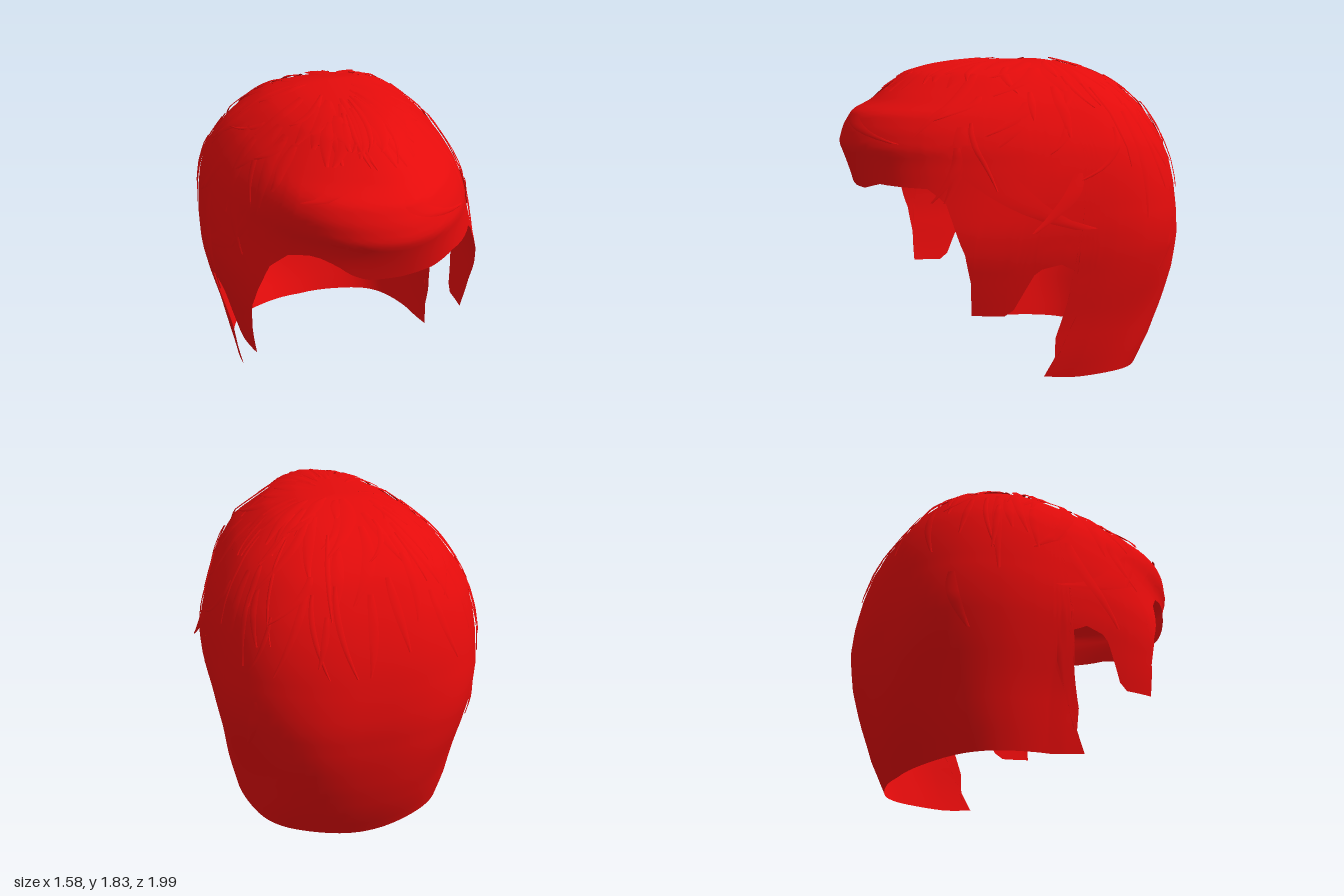
import * as THREE from 'three';

const TOP = 1.825;
// Slices: height, front z, back z, half width, centre z
const SLICES = [
  [1.825, -0.15, -0.15, 0, -0.15],
  [1.81, 0.3, -0.26, 0.19, -0.14],
  [1.79, 0.45, -0.35, 0.26, -0.13],
  [1.75, 0.6, -0.48, 0.36, -0.13],
  [1.68, 0.71, -0.61, 0.46, -0.14],
  [1.6, 0.81, -0.71, 0.55, -0.15],
  [1.55, 0.91, -0.76, 0.59, -0.17],
  [1.46, 0.965, -0.82, 0.65, -0.18],
  [1.37, 0.995, -0.87, 0.695, -0.2],
  [1.25, 0.955, -0.92, 0.73, -0.2],
  [1.13, 0.92, -0.955, 0.75, -0.2],
  [0.95, 0.92, -0.985, 0.765, -0.2],
  [0.8, 0.92, -0.995, 0.755, -0.2],
  [0.6, 0.92, -0.975, 0.715, -0.2],
  [0.4, 0.92, -0.93, 0.67, -0.2],
  [0.2, 0.92, -0.86, 0.64, -0.2],
  [0, 0.92, -0.76, 0.6, -0.2],
];

// Lower hairline from brow to nape: z, y, and optional z the strand comes from
const HAIRLINE = [
  [0.92, 1.13], [0.9, 1.14], [0.84, 1.18], [0.63, 1.175], [0.55, 1.1], [0.47, 0.84],
  [0.435, 0.68], [0.425, 0.49], [0.25, 0.475], [0.2, 0.51], [0.1, 0.71],
  [0.06, 0.74], [-0.05, 0.76], [-0.155, 0.71], [-0.11, 0.6, -0.18], [-0.1, 0.49, -0.2],
  [-0.05, 0.32, -0.23], [-0.055, 0.15, -0.25], [0, 0.09, -0.27], [-0.2, 0.06, -0.33],
  [-0.4, 0.05, -0.45], [-0.6, 0.035, -0.62], [-0.72, 0.02, -0.74], [-0.79, 0.005, -0.79],
];

const { smoothstep } = THREE.MathUtils;
const depth = (y) => Math.sqrt(Math.max(0, TOP - y));

function sliceAt(y) {
  let i = 0;
  while (i < SLICES.length - 2 && SLICES[i + 1][0] > y) i++;
  const a = SLICES[i], b = SLICES[i + 1];
  const t = Math.min(1, (depth(y) - depth(a[0])) / (depth(b[0]) - depth(a[0])));
  const [, front, back, width, centre] = a.map((v, k) => v + (b[k] - v) * t);
  return { front, back, width, centre };
}

// Rounder at the fringe and nape, squarer at the sideburns and back
const squareness = (y, isFront) =>
  isFront ? 2.7 - 0.73 * smoothstep(y, 0.8, 1.35) : 2.25 + 0.25 * smoothstep(y, 0.2, 0.85);

const bell = (v) => Math.exp(-v * v);

// Point on the scalp: angle 0 is the left side, +90 degrees the front
function scalp(angle, y, lift = 0) {
  const s = sliceAt(y), c = Math.cos(angle), n = Math.sin(angle);
  const p = 2 / squareness(y, n > 0);
  const reach = n > 0 ? s.front - s.centre : s.centre - s.back;
  const wave = 0.006 * Math.sin(angle * 7 + y * 6) * Math.min(1, depth(y));
  // The fringe is fuller at its right corner, and the right sideburn flares
  const turn = Math.atan2(n, c);
  const full = 0.06 * bell((turn - 2.25) / 0.4) * bell((y - 1.52) / 0.16)
    - 0.025 * bell((turn - 0.9) / 0.4) * bell((y - 1.7) / 0.1)
    + 0.025 * bell((turn - 2.7) / 0.4) * (1 - smoothstep(y, 0.5, 0.95));
  const out = lift + wave + full;
  return [
    Math.sign(c) * s.width * Math.abs(c) ** p + out * c,
    y + lift * Math.max(0, 1 - depth(y)),
    s.centre + Math.sign(n) * reach * Math.abs(n) ** p + out * n,
  ];
}

function angleFor(z, y) {
  const s = sliceAt(y), isFront = z > s.centre;
  const r = (z - s.centre) / (isFront ? s.front - s.centre : s.centre - s.back);
  const a = Math.asin(Math.min(1, Math.abs(r) ** (squareness(y, isFront) / 2)));
  return isFront ? a : -a;
}

// Surface from columns of points, each running downwards
function surface(columns, closed) {
  const rows = columns[0].length, index = [];
  const count = closed ? columns.length : columns.length - 1;
  for (let i = 0; i < count; i++) {
    const j = (i + 1) % columns.length;
    for (let r = 0; r < rows - 1; r++) {
      const a = i * rows + r, b = j * rows + r;
      index.push(a, a + 1, b, b, a + 1, b + 1);
    }
  }
  const g = new THREE.BufferGeometry();
  g.setAttribute('position', new THREE.Float32BufferAttribute(columns.flat(2), 3));
  g.setIndex(index);
  g.computeVertexNormals();
  return g;
}

// Main shell, from the crown down to the hairline
function shellGeometry() {
  const ends = HAIRLINE.map(([z, y, from = z], i) => {
    const edge = i === 0 ? Math.PI / 2 : i === HAIRLINE.length - 1 ? -Math.PI / 2 : null;
    return [edge ?? angleFor(from, y), edge ?? angleFor(z, y), y];
  });
  const half = [];
  for (let i = 0; i < ends.length - 1; i++) {
    for (let k = 0; k < 5; k++) {
      half.push(ends[i].map((v, m) => v + (ends[i + 1][m] - v) * (k / 5)));
    }
  }
  half.push(ends[ends.length - 1]);
  const mirrored = half.slice(1, -1).reverse().map(([a, b, y]) => {
    // The fringe lifts a little on the right
    const raise = 0.07 * bell((a - 0.97) / 0.2);
    return [-Math.PI - a, -Math.PI - b, y + raise];
  });
  const ROWS = 40;
  const columns = [...half, ...mirrored].map(([from, to, end]) =>
    Array.from({ length: ROWS + 1 }, (_, r) => {
      const t = r / ROWS;
      return scalp(from + (to - from) * t ** 6, TOP - (TOP - end) * t * t);
    }));
  return surface(columns, true);
}

// Tapered lock lying on the scalp between two (angle, height) ends
function lockGeometry(a0, y0, a1, y1, width, lift, flare = 0) {
  const N = 10, d0 = depth(y0), d1 = depth(y1);
  const columns = [1, 0, -1].map((side) =>
    Array.from({ length: N + 1 }, (_, r) => {
      const t = r / N, d = d0 + (d1 - d0) * t;
      const half = width * (0.3 + 0.7 * Math.sin(Math.PI * (0.1 + t * 0.9)));
      const a = a0 + (a1 - a0) * t * t;
      const spread = half / Math.max(0.15, d);
      return scalp(a + side * spread, TOP - d * d, lift + (side ? 0 : 0.004) + flare * t);
    }));
  return surface(columns, false);
}

function seeded(seed) {
  return () => (seed = (seed * 16807) % 2147483647) / 2147483647;
}

export function createModel() {
  const group = new THREE.Group();
  group.name = 'hair';
  const red = new THREE.MeshStandardMaterial({ color: 0xe40b0b, side: THREE.DoubleSide });
  red.name = 'red';
  const add = (name, geometry) => {
    const mesh = new THREE.Mesh(geometry, red);
    mesh.name = name;
    group.add(mesh);
  };

  add('hairShell', shellGeometry());

  // Small locks radiating from the crown
  const rand = seeded(77);
  const COUNT = 130;
  for (let i = 0; i < COUNT; i++) {
    const angle = (i / COUNT) * Math.PI * 2 + rand() * 0.15;
    const low = Math.sin(angle) > 0.6 ? 0.3 + rand() * 0.12 : 0.85;
    const d0 = 0.06 + rand() * (low - 0.24);
    const d1 = Math.min(low, d0 + 0.12 + rand() * 0.28);
    const bend = (rand() - 0.35) * 0.5;
    add('lock', lockGeometry(angle, TOP - d0 * d0, angle + bend, TOP - d1 * d1,
      0.01 + rand() * 0.018, 0.005 + rand() * 0.008));
  }

  // Locks swept across the fringe
  add('fringeLock', lockGeometry(1.5, 1.56, 0.95, 1.4, 0.06, 0.006));
  add('fringeLock', lockGeometry(1.75, 1.75, 2.3, 1.52, 0.05, 0.006));

  // Broad swept locks on the temples, loose ones over the ears, and nape locks
  for (const side of [1, -1]) {
    const turn = (a) => (side > 0 ? a : Math.PI - a);
    add('templeLock', lockGeometry(turn(0.56), 1.4, turn(0), 0.95, 0.1, 0.006));
    add('earLock', lockGeometry(turn(0.05), 1.25, turn(0.2), side > 0 ? 0.95 : 0.78, 0.03, 0.006, 0.025));
    add('napeLock', lockGeometry(turn(-0.75), 0.95, turn(-0.6), 0.65, 0.05, 0.006));
    add('backLock', lockGeometry(turn(-0.45), 1.55, turn(-0.4), 0.98, 0.03, 0.008));
  }
  return group;
}
